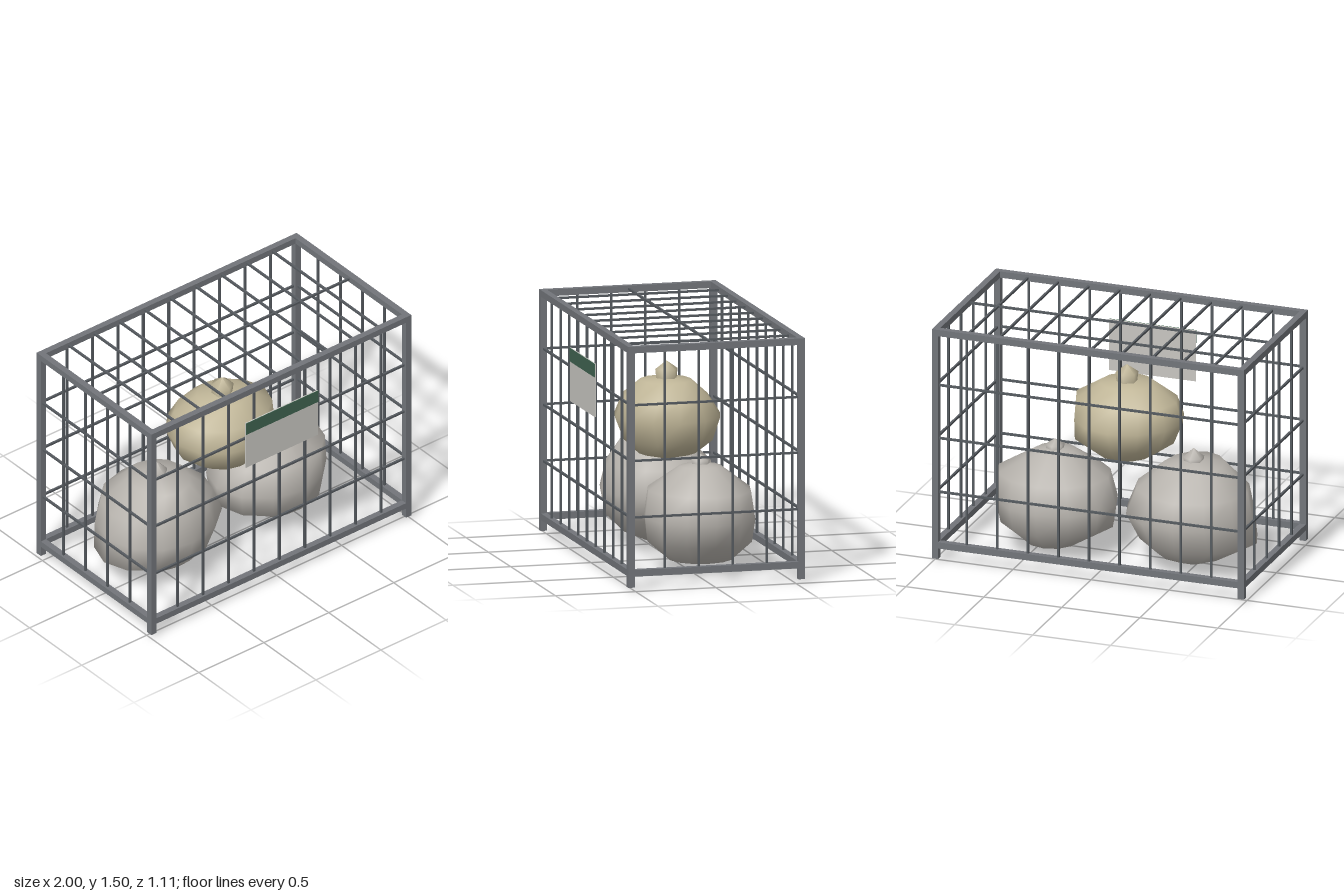
import * as THREE from 'three';

const mat = (color, side = THREE.FrontSide) => new THREE.MeshStandardMaterial({ color, side });
const frameMat = mat(0x72757a), wireMat = mat(0x565b60);
const greyMat = mat(0xb8b4ae), beigeMat = mat(0xc0b698);
const ZC = -0.005; // cage centre in z; the sign projects in front

function box(parent, name, size, pos, material) {
  const mesh = new THREE.Mesh(new THREE.BoxGeometry(...size), material);
  mesh.name = name;
  mesh.position.set(...pos);
  parent.add(mesh);
}

// Lumpy gourd: 12-sided rings [y, left reach, right reach, back reach, front reach] closed by two poles
function gourdGeometry(bottom, rings, top) {
  const n = 12, pos = [0, bottom, 0], index = [];
  for (const [y, xl, xr, zb, zf] of rings) {
    for (let i = 0; i < n; i++) {
      const c = Math.cos(i / n * Math.PI * 2), s = Math.sin(i / n * Math.PI * 2);
      pos.push(c * (c > 0 ? xr : xl), y, s * (s > 0 ? zf : zb));
    }
  }
  pos.push(0, top, 0);
  const last = pos.length / 3 - 1;
  for (let i = 0; i < n; i++) {
    const j = (i + 1) % n;
    index.push(0, 1 + i, 1 + j);
    for (let r = 0; r < rings.length - 1; r++) {
      const a = 1 + r * n + i, b = 1 + r * n + j;
      index.push(a, a + n, b, b, a + n, b + n);
    }
    index.push(last, last - n + j, last - n + i);
  }
  const geo = new THREE.BufferGeometry();
  geo.setAttribute('position', new THREE.Float32BufferAttribute(pos, 3));
  geo.setIndex(index);
  geo.computeVertexNormals();
  return geo;
}

function gourd(parent, name, x, z, material, bottom, rings, top, stem) {
  const group = new THREE.Group();
  group.name = name;
  group.position.set(x, 0, z);
  const body = new THREE.Mesh(gourdGeometry(bottom, rings, top), material);
  body.name = 'body';
  // Short stub with a pointed tip
  const [radius, shoulder, tip] = stem;
  const profile = [[radius * 0.85, top - 0.04], [radius, shoulder], [0, tip]].map(p => new THREE.Vector2(...p));
  const stub = new THREE.Mesh(new THREE.LatheGeometry(profile, 6), material);
  stub.name = 'stem';
  group.add(body, stub);
  parent.add(group);
}

export function createModel() {
  const model = new THREE.Group();

  // Square-section frame
  const frame = new THREE.Group();
  frame.name = 'frame';
  const t = 0.04, px = 0.98, pz = 0.53;
  for (const sx of [-1, 1]) {
    for (const sz of [-1, 1]) box(frame, 'post', [t, 1.47, t], [sx * px, 0.765, ZC + sz * pz], frameMat);
    for (const y of [0.117, 1.48]) box(frame, 'sideRail', [t, t, 1.02], [sx * px, y, ZC], frameMat);
  }
  for (const sz of [-1, 1]) {
    for (const y of [0.117, 1.48]) box(frame, 'longRail', [1.92, t, t], [0, y, ZC + sz * pz], frameMat);
  }
  model.add(frame);

  // Wire mesh on the four sides and the top
  const wires = new THREE.Group();
  wires.name = 'wireMesh';
  const w = 0.013, levels = [0.455, 0.8, 1.14];
  for (let i = -4; i <= 4; i++) {
    const x = i * 0.196;
    for (const sz of [-1, 1]) box(wires, 'uprightWire', [w, 1.34, w], [x, 0.8, ZC + sz * pz], wireMat);
    box(wires, 'topCrossWire', [w, w, 1.04], [x, 1.48, ZC], wireMat);
  }
  box(wires, 'topLongWire', [1.94, w, w], [0, 1.48, ZC], wireMat);
  for (const s of [-1, 1]) {
    for (const z of [-0.318, -0.106, 0.106, 0.318]) {
      box(wires, 'sideUprightWire', [w, 1.34, w], [s * px, 0.8, ZC + z], wireMat);
    }
    for (const y of levels) {
      box(wires, 'longWire', [1.94, w, w], [0, y, ZC + s * pz], wireMat);
      box(wires, 'sideWire', [w, w, 1.04], [s * px, y, ZC], wireMat);
    }
  }
  model.add(wires);

  // Sign plate with a green header strip
  const sign = new THREE.Group();
  sign.name = 'sign';
  box(sign, 'plate', [0.555, 0.325, 0.008], [-0.002, 1.107, 0.549], mat(0xc8c6c1));
  box(sign, 'headerStrip', [0.555, 0.082, 0.004], [-0.002, 1.229, 0.555], mat(0x3f6350));
  model.add(sign);

  // Three gourds, two on the ground and one stacked on top
  gourd(model, 'leftGourd', -0.487, -0.045, greyMat, 0.005, [
    [0.09, 0.21, 0.22, 0.21, 0.2],
    [0.195, 0.405, 0.33, 0.33, 0.31],
    [0.35, 0.375, 0.42, 0.375, 0.35],
    [0.51, 0.345, 0.355, 0.335, 0.31],
    [0.65, 0.18, 0.185, 0.18, 0.23],
  ], 0.69, [0.065, 0.7, 0.755]);
  gourd(model, 'rightGourd', 0.39, -0.075, greyMat, 0.05, [
    [0.07, 0.16, 0.18, 0.19, 0.19],
    [0.19, 0.37, 0.335, 0.315, 0.33],
    [0.33, 0.39, 0.365, 0.335, 0.345],
    [0.5, 0.34, 0.36, 0.305, 0.325],
    [0.64, 0.115, 0.12, 0.12, 0.13],
  ], 0.66, [0.058, 0.675, 0.71]);
  gourd(model, 'topGourd', -0.035, 0.02, beigeMat, 0.61, [
    [0.65, 0.17, 0.17, 0.18, 0.17],
    [0.74, 0.3, 0.325, 0.28, 0.265],
    [0.875, 0.355, 0.318, 0.335, 0.32],
    [1.0, 0.315, 0.322, 0.255, 0.265],
    [1.095, 0.16, 0.165, 0.15, 0.16],
  ], 1.11, [0.07, 1.16, 1.21]);

  return model;
}
